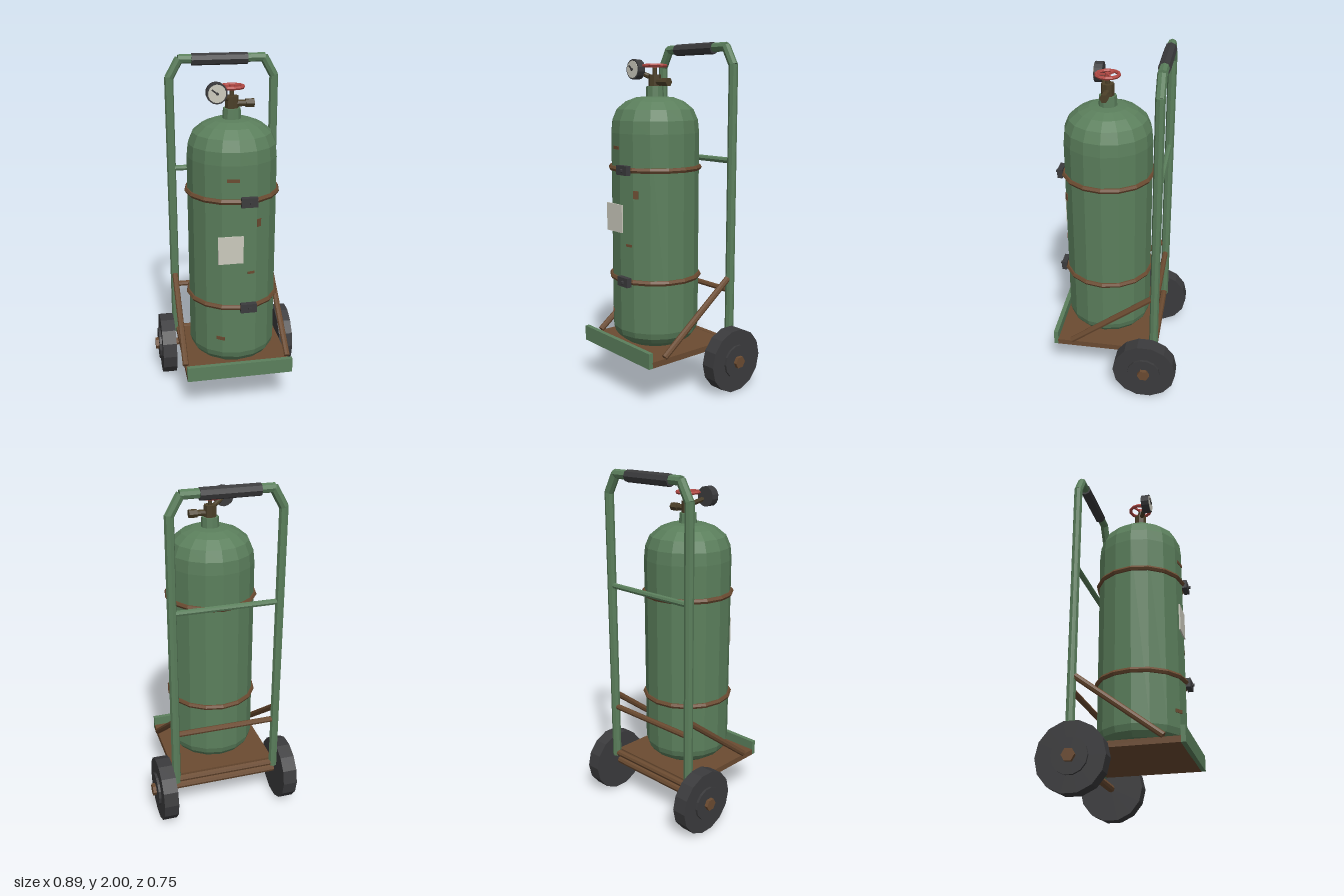
import * as THREE from 'three';

const mat = (name, color) => new THREE.MeshStandardMaterial({ name, color, flatShading: true });

export function createModel() {
  const green = mat('green paint', 0x5b7f5c);
  const rust = mat('rusty steel', 0x6b4b31);
  const dark = mat('dark rubber', 0x3b3b3d);
  const brass = mat('aged brass', 0x4c4029);
  const red = mat('red paint', 0xb34a45);
  const cream = mat('cream paper', 0xcbcabd);
  const model = new THREE.Group();

  const add = (name, geometry, material, x = 0, y = 0, z = 0, parent = model) => {
    const mesh = new THREE.Mesh(geometry, material);
    mesh.name = name;
    mesh.position.set(x, y, z);
    parent.add(mesh);
    return mesh;
  };
  const box = (name, w, h, d, material, x, y, z, parent) =>
    add(name, new THREE.BoxGeometry(w, h, d), material, x, y, z, parent);
  // Straight rod between two points
  const rod = (name, a, b, r, material, sides = 8) => {
    const p = new THREE.Vector3(...a), q = new THREE.Vector3(...b);
    const dir = q.clone().sub(p);
    const mesh = add(name, new THREE.CylinderGeometry(r, r, dir.length(), sides), material);
    mesh.position.copy(p).add(q).multiplyScalar(0.5);
    mesh.quaternion.setFromUnitVectors(new THREE.Vector3(0, 1, 0), dir.normalize());
    return mesh;
  };

  // Tank
  const cz = 0.08, R = 0.25, sides = 16;
  const profile = [
    [0, 0.288], [0.17, 0.288], [0.217, 0.32], [0.24, 0.35], [R, 0.385], [R, 1.5],
    [0.243, 1.57], [0.217, 1.63], [0.165, 1.672], [0.105, 1.695], [0, 1.703],
  ].map(([x, y]) => new THREE.Vector2(x, y));
  add('tank', new THREE.LatheGeometry(profile, sides), green, 0, 0, cz);
  add('tankNeck', new THREE.CylinderGeometry(0.048, 0.052, 0.07, 10), green, 0, 1.72, cz);

  // Straps with buckles
  for (const y of [0.68, 1.305]) {
    const strap = add('strap', new THREE.TorusGeometry(0.251, 0.016, 6, sides), rust, 0, y, cz);
    strap.rotation.x = Math.PI / 2;
    box('buckle', 0.09, 0.052, 0.03, dark, 0.048, y, 0.342);
    rod('buckleBolt', [0.055, y, 0.35], [0.055, y, 0.37], 0.01, dark, 6);
  }

  // Label and rust patches lying on the tank facets
  box('label', 0.14, 0.158, 0.008, cream, -0.05, 1.03, 0.33);
  const apothem = R * Math.cos(Math.PI / sides);
  const patches = [
    [-0.036, 1.422, 0.068, 0.018, -1], [0.108, 1.172, 0.03, 0.044, 3],
    [0.065, 0.885, 0.04, 0.014, 1], [-0.104, 0.478, 0.05, 0.02, -3],
  ];
  for (const [x, y, w, h, k] of patches) {
    const a = k * Math.PI / sides;
    const s = (x - apothem * Math.sin(a)) / Math.cos(a);
    const patch = box('rustPatch', w, h, 0.008, rust, x, y, cz + apothem * Math.cos(a) - s * Math.sin(a));
    patch.rotation.y = a;
  }

  // Valve body, stem and outlet
  add('valveBody', new THREE.CylinderGeometry(0.036, 0.036, 0.07, 8), brass, 0, 1.785, cz);
  rod('valveStem', [0, 1.8, cz], [0, 1.875, cz], 0.012, brass);
  rod('outlet', [0, 1.778, cz], [0.1, 1.778, cz], 0.018, brass);
  rod('outletNut', [0.075, 1.778, cz], [0.122, 1.778, cz], 0.024, brass, 6);

  // Handwheel
  const handwheel = new THREE.Group();
  handwheel.name = 'handwheel';
  handwheel.position.set(0, 1.868, cz);
  model.add(handwheel);
  add('handwheelRim', new THREE.TorusGeometry(0.062, 0.01, 6, 12), red, 0, 0, 0, handwheel).rotation.x = Math.PI / 2;
  add('handwheelHub', new THREE.CylinderGeometry(0.014, 0.014, 0.02, 8), red, 0, 0, 0, handwheel);
  for (let i = 0; i < 3; i++) {
    const a = i * Math.PI * 2 / 3;
    const spoke = box('handwheelSpoke', 0.01, 0.01, 0.06, red, Math.sin(a) * 0.032, 0, Math.cos(a) * 0.032, handwheel);
    spoke.rotation.y = a;
  }

  // Pressure gauge
  const gx = -0.093, gy = 1.848;
  rod('gaugeArm', [0, 1.795, cz], [-0.08, 1.835, 0.13], 0.014, brass);
  rod('gaugeCase', [gx, gy, 0.118], [gx, gy, 0.165], 0.056, dark, 14);
  rod('gaugeFace', [gx, gy, 0.164], [gx, gy, 0.168], 0.048, cream, 14);
  const needle = box('gaugeNeedle', 0.042, 0.008, 0.004, dark, gx - 0.012, gy + 0.009, 0.17);
  needle.rotation.z = -0.65;
  rod('gaugePin', [gx, gy, 0.166], [gx, gy, 0.176], 0.008, dark, 6);

  // Bed and front lip
  box('bed', 0.614, 0.034, 0.56, rust, 0, 0.266, 0.07);
  box('frontLip', 0.614, 0.088, 0.026, green, 0, 0.293, 0.361);

  // Frame: posts, bends, braces
  const fz = -0.233;
  for (const s of [-1, 1]) {
    rod('post', [s * 0.304, 0.25, fz], [s * 0.304, 1.875, fz], 0.026, green);
    rod('handleBend', [s * 0.304, 1.868, fz], [s * 0.243, 1.975, fz], 0.026, green);
    rod('brace', [s * 0.304, 0.655, -0.215], [s * 0.304, 0.29, 0.262], 0.018, rust);
  }
  rod('handleBar', [-0.25, 1.972, fz], [0.25, 1.972, fz], 0.026, green);
  rod('handleGrip', [-0.174, 1.968, fz], [0.148, 1.968, fz], 0.034, dark);
  rod('upperCrossbar', [-0.3, 1.34, fz], [0.3, 1.34, fz], 0.017, green);
  rod('lowerCrossbar', [-0.3, 0.58, fz], [0.3, 0.58, fz], 0.017, rust);
  rod('rearRail', [-0.3, 0.268, fz], [0.3, 0.268, fz], 0.02, rust);

  // Axle and wheels
  const ay = 0.188, az = -0.19;
  rod('axle', [-0.42, ay, az], [0.42, ay, az], 0.022, rust);
  for (const s of [-1, 1]) {
    rod('wheel', [s * 0.326, ay, az], [s * 0.411, ay, az], 0.187, dark, 14);
    rod('wheelHub', [s * 0.4, ay, az], [s * 0.425, ay, az], 0.097, dark, 14);
    rod('axleNut', [s * 0.42, ay, az], [s * 0.445, ay, az], 0.036, rust, 6);
  }
  return model;
}
